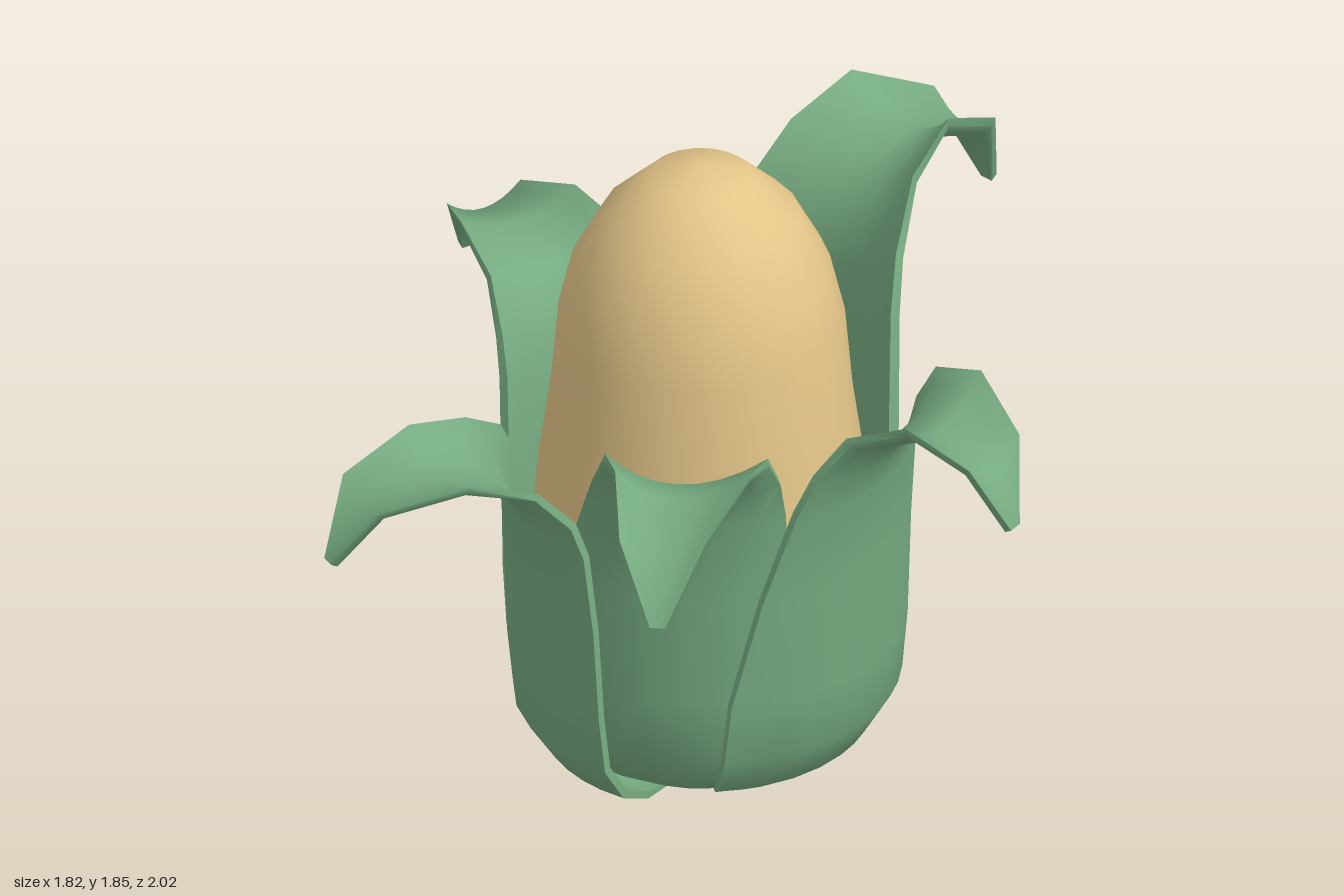
import * as THREE from 'three';
import { toCreasedNormals } from 'three/addons/utils/BufferGeometryUtils.js';

const huskGreen = new THREE.MeshStandardMaterial({ color: 0x76ab80, side: THREE.DoubleSide });
huskGreen.name = 'huskGreen';
const cobTan = new THREE.MeshStandardMaterial({ color: 0xe3c588 });
cobTan.name = 'cobTan';

// Leaf stations: radius, height, width to the left, width to the right, wrap around the cob, edge lift
const STATIONS = [
  [0.03, 0.035, 0.025, 0.025, 1, 0],
  [0.3, 0.08, 0.24, 0.19, 0.9, 0.01],
  [0.435, 0.17, 0.34, 0.26, 1, 0],
  [0.51, 0.3, 0.39, 0.29, 1, 0],
  [0.525, 0.48, 0.39, 0.29, 1, 0],
  [0.535, 0.8, 0.335, 0.285, 1, 0],
  [0.55, 1.05, 0.265, 0.275, 1, 0.01],
  [0.585, 1.14, 0.235, 0.265, 1.2, 0.03],
  [0.66, 1.23, 0.195, 0.245, 1.2, 0.06],
  [0.8, 1.28, 0.145, 0.21, 0.6, 0.07],
  [0.985, 1.215, 0.11, 0.115, 0.3, 0.055],
  [1.07, 1.07, 0.02, 0.02, 0, 0],
];
const ACROSS = 8;
const THICK = 0.022;
const BEND = 7; // station where the leaf turns away from the cob

// Closed shell: every station gives a loop across the outside and back along the inside
function leafGeometry({ offset, reach, tilt, leftScale, rightScale }) {
  const pos = [], index = [];
  const loop = 2 * (ACROSS + 1);
  const last = STATIONS.length - 1;
  STATIONS.forEach(([r0, y, wl, wr, wrap, lift], i) => {
    const prev = STATIONS[Math.max(i - 1, 0)];
    const next = STATIONS[Math.min(i + 1, last)];
    const len = Math.hypot(next[0] - prev[0], next[1] - prev[1]);
    const nr = (next[1] - prev[1]) / len, ny = -(next[0] - prev[0]) / len;
    const out = Math.max(0, (i - BEND) / (last - BEND));
    const body = i > 0 && i <= BEND;
    const left = body ? wl * leftScale : wl;
    const right = body ? wr * rightScale : wr;
    for (let k = 0; k < loop; k++) {
      const inner = k > ACROSS;
      const j = inner ? loop - 1 - k : k;
      const t = (2 * j) / ACROSS - 1;
      const x = t * (t < 0 ? left : right);
      const r = r0 + (i > 0 ? THREE.MathUtils.lerp(offset + tilt * t, reach, out) : 0);
      const drop = wrap * (r - Math.sqrt(Math.max(r * r - x * x, 0)));
      const th = inner ? THICK : 0;
      pos.push(x * (1 - (th * nr) / r), y + lift * t * t - th * ny, r - drop - th * nr);
    }
  });
  for (let i = 0; i < last; i++) {
    for (let k = 0; k < loop; k++) {
      const a = i * loop + k, b = i * loop + ((k + 1) % loop);
      index.push(a, b, b + loop, a, b + loop, a + loop);
    }
  }
  const g = new THREE.BufferGeometry();
  g.setAttribute('position', new THREE.Float32BufferAttribute(pos, 3));
  g.setIndex(index);
  return toCreasedNormals(g, 1.2);
}

// Husk leaves: angle in degrees, height scale, base shift, then how each body and tip lies around the cob
const LEAVES = [
  { name: 'frontLeaf', angle: 6, height: 1, shift: 0,
    offset: -0.02, reach: 0, tilt: 0, leftScale: 1, rightScale: 1 },
  { name: 'leftLeaf', angle: 67, height: 1, shift: 0.005,
    offset: 0.02, reach: -0.07, tilt: 0.005, leftScale: 1, rightScale: 1 },
  { name: 'backLeftLeaf', angle: 147.5, height: 1.255, shift: -0.01,
    offset: -0.01, reach: 0.01, tilt: 0, leftScale: 1.12, rightScale: 1.1 },
  { name: 'backRightLeaf', angle: 226, height: 0.965, shift: 0,
    offset: 0.025, reach: 0.03, tilt: 0.022, leftScale: 1.12, rightScale: 1.06 },
  { name: 'frontRightLeaf', angle: 309, height: 0.885, shift: -0.028,
    offset: -0.005, reach: 0.02, tilt: 0.015, leftScale: 1.22, rightScale: 1 },
];

export function createModel() {
  const model = new THREE.Group();
  model.name = 'cornCob';
  const plant = new THREE.Group();
  plant.name = 'plant';
  plant.position.set(-0.03, 0, -0.08);
  model.add(plant);

  // Cob with a domed top
  const profile = [[0, 0.065], [0.2, 0.1], [0.36, 0.21], [0.44, 0.4], [0.46, 0.65], [0.44, 0.9],
    [0.405, 1.15], [0.385, 1.38], [0.345, 1.55], [0.265, 1.7], [0.14, 1.82], [0, 1.853]];
  const lathe = new THREE.LatheGeometry(profile.map(([x, y]) => new THREE.Vector2(x, y)), 20);
  const cob = new THREE.Mesh(toCreasedNormals(lathe, 1), cobTan);
  cob.name = 'cob';
  plant.add(cob);

  for (const spec of LEAVES) {
    const leaf = new THREE.Mesh(leafGeometry(spec), huskGreen);
    leaf.name = spec.name;
    leaf.rotation.y = THREE.MathUtils.degToRad(spec.angle);
    leaf.scale.y = spec.height;
    leaf.position.y = spec.shift;
    plant.add(leaf);
  }
  return model;
}
